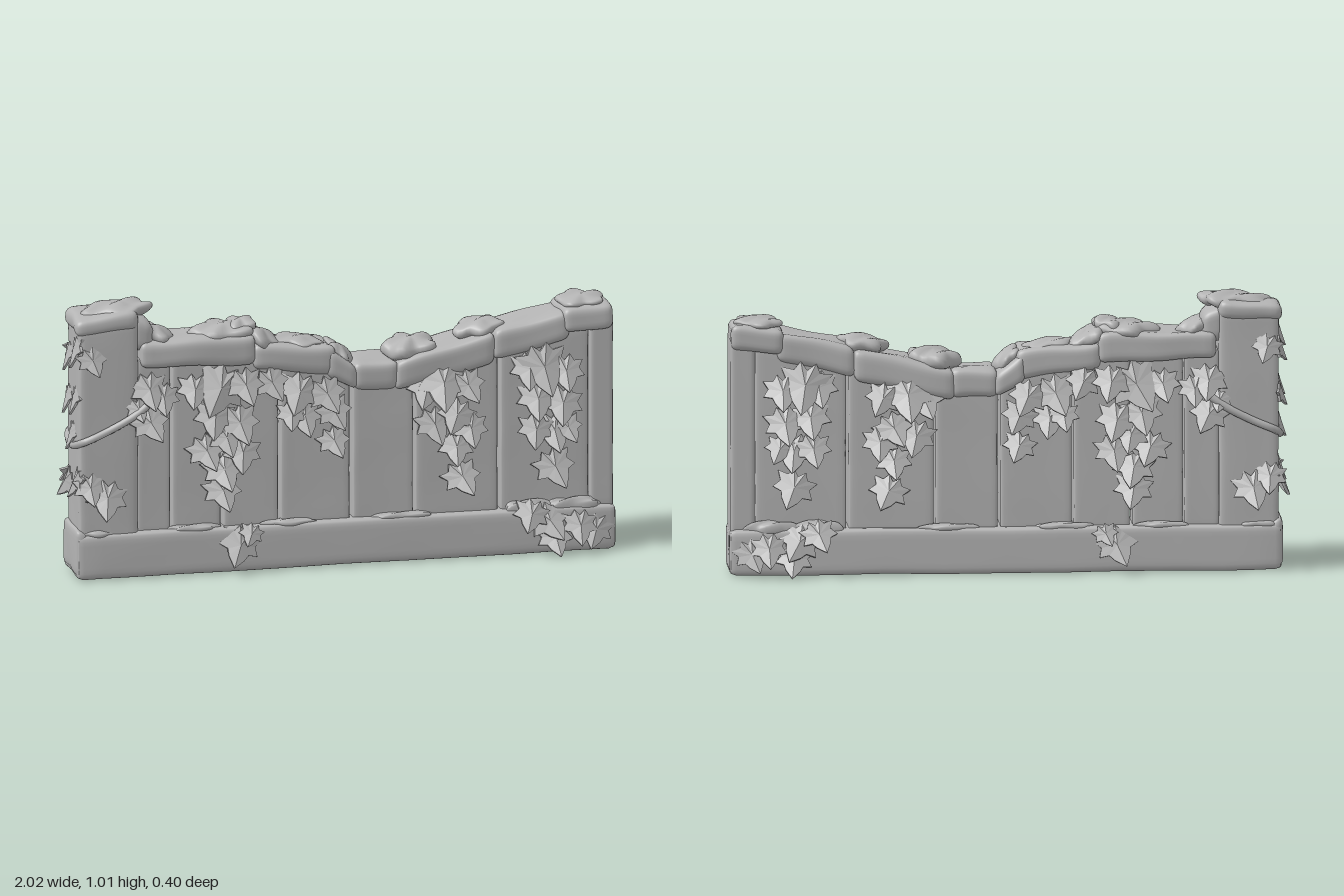
import * as THREE from 'three';
import { mergeVertices } from 'three/addons/utils/BufferGeometryUtils.js';

const stoneGrey = new THREE.MeshStandardMaterial({ color: 0xb4b4b4 });

// Seeded random numbers in -1..1
let seed = 7;
const rnd = () => {
  seed = (seed * 16807) % 2147483647;
  return (seed / 2147483647) * 2 - 1;
};

const wobble = (x, y, z) =>
  Math.sin(x * 23 + z * 17) * 0.5 + Math.sin(y * 31 - x * 13 + 1) * 0.3 + Math.sin(z * 37 + y * 19 + 2) * 0.4;

function smooth(geo) {
  geo.deleteAttribute('uv');
  geo.deleteAttribute('normal');
  const g = mergeVertices(geo, 1e-4);
  g.computeVertexNormals();
  return g;
}

function add(group, name, geo) {
  const m = new THREE.Mesh(geo, stoneGrey);
  m.name = name;
  group.add(m);
  return m;
}

// Rounded block between x0 and x1 whose bottom and top edges may slope
function block(x0, x1, bot0, bot1, top0, top1, hz, r, rough = 0) {
  const g = new THREE.BoxGeometry(2, 2, 2, 14, 12, 12);
  const p = g.attributes.position;
  const hx = (x1 - x0) / 2, hy = (top0 + top1 - bot0 - bot1) / 4;
  const h = new THREE.Vector3(hx, hy, hz);
  const inner = h.clone().subScalar(r);
  const v = new THREE.Vector3(), c = new THREE.Vector3();
  for (let i = 0; i < p.count; i++) {
    v.fromBufferAttribute(p, i);
    // crowd the grid lines towards the edges, then round the corners
    v.set(Math.sin(v.x * Math.PI / 2), Math.sin(v.y * Math.PI / 2), Math.sin(v.z * Math.PI / 2)).multiply(h);
    c.copy(v).clamp(inner.clone().negate(), inner);
    v.sub(c).setLength(r).add(c);
    const t = (v.x / hx + 1) / 2, s = (v.y / hy + 1) / 2;
    const bot = bot0 + (bot1 - bot0) * t, top = top0 + (top1 - top0) * t;
    v.set(x0 + (x1 - x0) * t, bot + (top - bot) * s, v.z);
    const w = rough * wobble(v.x, v.y, v.z);
    p.setXYZ(i, v.x + w * 0.5, v.y + w, v.z + w * 0.6);
  }
  return smooth(g);
}

// Flattened lobed mound
function mound(x, y, z, rx, ry, rz, slope = 0) {
  const g = new THREE.SphereGeometry(1, 40, 18);
  const p = g.attributes.position;
  for (let i = 0; i < p.count; i++) {
    const a = Math.atan2(p.getZ(i), p.getX(i));
    const k = 1 + 0.12 * Math.cos(5 * a + x * 9) + 0.07 * Math.cos(3 * a + x * 20);
    const px = p.getX(i) * rx * k;
    const py = Math.sign(p.getY(i)) * Math.pow(Math.abs(p.getY(i)), 0.8) * ry;
    p.setXYZ(i, x + px, y + py + px * slope + 0.15 * ry * Math.sin(px * 50 + p.getZ(i) * 5), z + p.getZ(i) * rz * k);
  }
  return smooth(g);
}

// Pointed ivy leaf: two fans with a rim, cupped and curling outward at the tip
function leafGeometry() {
  const half = [[0.15, 0.45], [0.25, 0.28], [0.5, 0.3], [0.37, 0.08], [0.5, -0.12], [0.27, -0.17], [0.2, -0.33]];
  const rim = [[0, 0.3], ...half, [0, -0.58], ...half.map(([x, y]) => [-x, y]).reverse()];
  const bend = (x, y, d) => [x, y, 0.3 * (0.3 - y) ** 2 - 0.4 * x * x + d];
  const pos = [];
  const n = rim.length;
  for (let i = 0; i < n; i++) {
    const a = rim[i], b = rim[(i + 1) % n];
    const af = bend(...a, 0.03), bf = bend(...b, 0.03), ab = bend(...a, -0.06), bb = bend(...b, -0.06);
    pos.push(...bend(0, 0, 0.1), ...bf, ...af);
    pos.push(...bend(0, 0, -0.04), ...ab, ...bb);
    pos.push(...af, ...bf, ...bb, ...af, ...bb, ...ab);
  }
  const g = new THREE.BufferGeometry();
  g.setAttribute('position', new THREE.Float32BufferAttribute(pos, 3));
  g.computeVertexNormals();
  return g;
}

export function createModel() {
  seed = 7;
  const model = new THREE.Group();
  model.name = 'ivyFence';

  // Base beam
  add(model, 'baseBeam', block(-0.985, 1, 0, 0, 0.165, 0.165, 0.115, 0.022, 0.003));

  // Upright planks, each reaching up under its cap stone
  const planks = [
    [-0.76, -0.635, 0.8, 0.8], [-0.63, -0.45, 0.8, 0.8], [-0.44, -0.238, 0.8, 0.77],
    [-0.23, 0.025, 0.77, 0.7], [0.036, 0.258, 0.69, 0.69], [0.266, 0.57, 0.69, 0.77],
    [0.58, 0.905, 0.77, 0.84],
  ];
  for (const [a, b, t0, t1] of planks)
    add(model, 'plank', block(a, b, 0.14, 0.14, t0, t1, 0.083, 0.012, 0.002));
  add(model, 'rightPost', block(0.908, 0.995, 0.14, 0.14, 0.86, 0.86, 0.089, 0.014, 0.001));
  add(model, 'leftPost', block(-0.975, -0.758, 0.1, 0.1, 0.95, 0.96, 0.1, 0.02, 0.005));
  add(model, 'leftPostFoot', block(-0.99, -0.94, 0.01, 0.01, 0.19, 0.17, 0.11, 0.024, 0.004));

  // Cap stones along the sagging top
  const caps = [
    [-0.75, -0.325, 0.765, 0.755, 0.865, 0.865, 0.108],
    [-0.335, -0.03, 0.735, 0.7, 0.83, 0.805, 0.102],
    [-0.065, 0.05, 0.7, 0.635, 0.8, 0.725, 0.107],
    [0.035, 0.205, 0.637, 0.637, 0.74, 0.74, 0.1],
    [0.19, 0.555, 0.63, 0.705, 0.735, 0.82, 0.108],
    [0.55, 0.83, 0.715, 0.775, 0.825, 0.885, 0.103],
    [0.805, 0.993, 0.8, 0.812, 0.895, 0.912, 0.112],
  ];
  for (const [a, b, b0, b1, t0, t1, hz] of caps)
    add(model, 'capStone', block(a, b, b0, b1, t0, t1, hz, 0.028, 0.006));
  add(model, 'leftPostCap', block(-0.985, -0.755, 0.9, 0.91, 0.965, 0.99, 0.108, 0.03, 0.008));
  add(model, 'leftPostShoulder', block(-0.785, -0.695, 0.83, 0.82, 0.965, 0.925, 0.09, 0.035, 0.006));

  // Mounds on top: x, y, z, radii, slope
  const mounds = [
    [-0.82, 0.965, 0, 0.13, 0.032, 0.085, 0.08], [-0.68, 0.875, 0.0, 0.065, 0.03, 0.09, -0.3],
    [-0.43, 0.865, 0, 0.11, 0.032, 0.1, 0.05], [-0.37, 0.88, 0, 0.06, 0.03, 0.065, 0.2],
    [-0.29, 0.835, 0, 0.07, 0.035, 0.095, -0.4], [-0.15, 0.812, 0, 0.09, 0.022, 0.08, -0.1],
    [0.0, 0.765, 0, 0.045, 0.03, 0.09, -0.6], [0.26, 0.765, 0, 0.095, 0.04, 0.1, 0.1],
    [0.515, 0.825, 0, 0.085, 0.03, 0.085, 0.15], [0.89, 0.905, 0, 0.085, 0.02, 0.095, 0.05],
  ];
  for (const m of mounds) add(model, 'topMound', mound(...m));

  // Drifts lying along the base on both faces
  const drifts = [[-0.9, 0.07], [-0.55, 0.09], [-0.2, 0.1], [0.22, 0.11], [0.68, 0.09], [0.85, 0.1]];
  for (const s of [1, -1])
    for (const [x, w] of drifts)
      add(model, 'baseDrift', mound(x, 0.165, s * 0.088, w, x > 0.6 ? 0.03 : 0.014, 0.022));

  // Ivy leaves: x, y, size
  const clusters = [
    [[-0.46, 0.68, 0.2], [-0.555, 0.68, 0.13], [-0.37, 0.69, 0.14], [-0.48, 0.575, 0.15], [-0.39, 0.55, 0.15],
      [-0.44, 0.5, 0.13], [-0.51, 0.45, 0.14], [-0.38, 0.44, 0.14], [-0.45, 0.38, 0.15], [-0.45, 0.3, 0.14]],
    [[-0.27, 0.69, 0.13], [-0.17, 0.65, 0.16], [-0.07, 0.64, 0.14], [-0.15, 0.56, 0.14], [-0.04, 0.57, 0.13],
      [-0.2, 0.57, 0.11], [-0.04, 0.46, 0.12]],
    [[0.3, 0.63, 0.14], [0.36, 0.65, 0.19], [0.45, 0.64, 0.13], [0.33, 0.5, 0.14], [0.41, 0.53, 0.14],
      [0.46, 0.48, 0.13], [0.41, 0.41, 0.13], [0.43, 0.3, 0.14]],
    [[0.68, 0.68, 0.14], [0.73, 0.69, 0.19], [0.81, 0.67, 0.14], [0.71, 0.57, 0.15], [0.8, 0.55, 0.15],
      [0.7, 0.46, 0.13], [0.77, 0.45, 0.15], [0.82, 0.46, 0.11], [0.77, 0.32, 0.15]],
    [[-0.72, 0.69, 0.14], [-0.67, 0.66, 0.12], [-0.72, 0.57, 0.14], [-0.76, 0.62, 0.09],
      [-0.94, 0.34, 0.12], [-0.88, 0.3, 0.15], [-0.93, 0.81, 0.11]],
  ];
  const baseLeaves = [[-0.39, 0.1, 0.15], [-0.35, 0.14, 0.09], [0.68, 0.15, 0.13], [0.75, 0.12, 0.15],
    [0.77, 0.06, 0.13], [0.86, 0.1, 0.13], [0.92, 0.08, 0.13]];
  const leafGeo = leafGeometry();
  const ivy = new THREE.Group();
  ivy.name = 'ivy';
  model.add(ivy);
  function leaf(x, y, z, size, turn, roll, tilt) {
    const m = add(ivy, 'ivyLeaf', leafGeo);
    m.position.set(x, y, z);
    m.rotation.set(tilt, turn, roll, 'YXZ');
    m.scale.setScalar(size);
  }
  const placeBoth = (list, depth) => list.forEach(([x, y, size], i) => {
    const roll = rnd() * 0.5, tilt = -0.3 + rnd() * 0.1, z = depth + (i % 3) * 0.007;
    leaf(x, y, z, size, 0, roll, tilt);
    leaf(x, y, -z, size, Math.PI, -roll, tilt);
  });
  clusters.forEach((list) => placeBoth(list, 0.108));
  placeBoth(baseLeaves, 0.123);

  // Leaves on the left end
  for (const [y, z, size] of [[0.84, 0.06, 0.11], [0.8, -0.05, 0.1], [0.66, 0.05, 0.1], [0.64, -0.06, 0.1],
    [0.52, 0, 0.1], [0.36, 0.07, 0.11], [0.33, -0.06, 0.12]])
    leaf(-0.978, y, z, size, -Math.PI / 2, rnd() * 0.5, -0.08);

  // Vine stem wrapping round the left post
  const side = [[-0.66, 0.69, 0.095], [-0.76, 0.61, 0.115], [-0.87, 0.55, 0.115], [-0.96, 0.51, 0.105]];
  const path = [...side, [-0.982, 0.48, 0], ...side.map(([x, y, z]) => [x, y, -z]).reverse()]
    .map((q) => new THREE.Vector3(...q));
  add(ivy, 'vineStem', new THREE.TubeGeometry(new THREE.CatmullRomCurve3(path), 60, 0.014, 8));

  return model;
}
